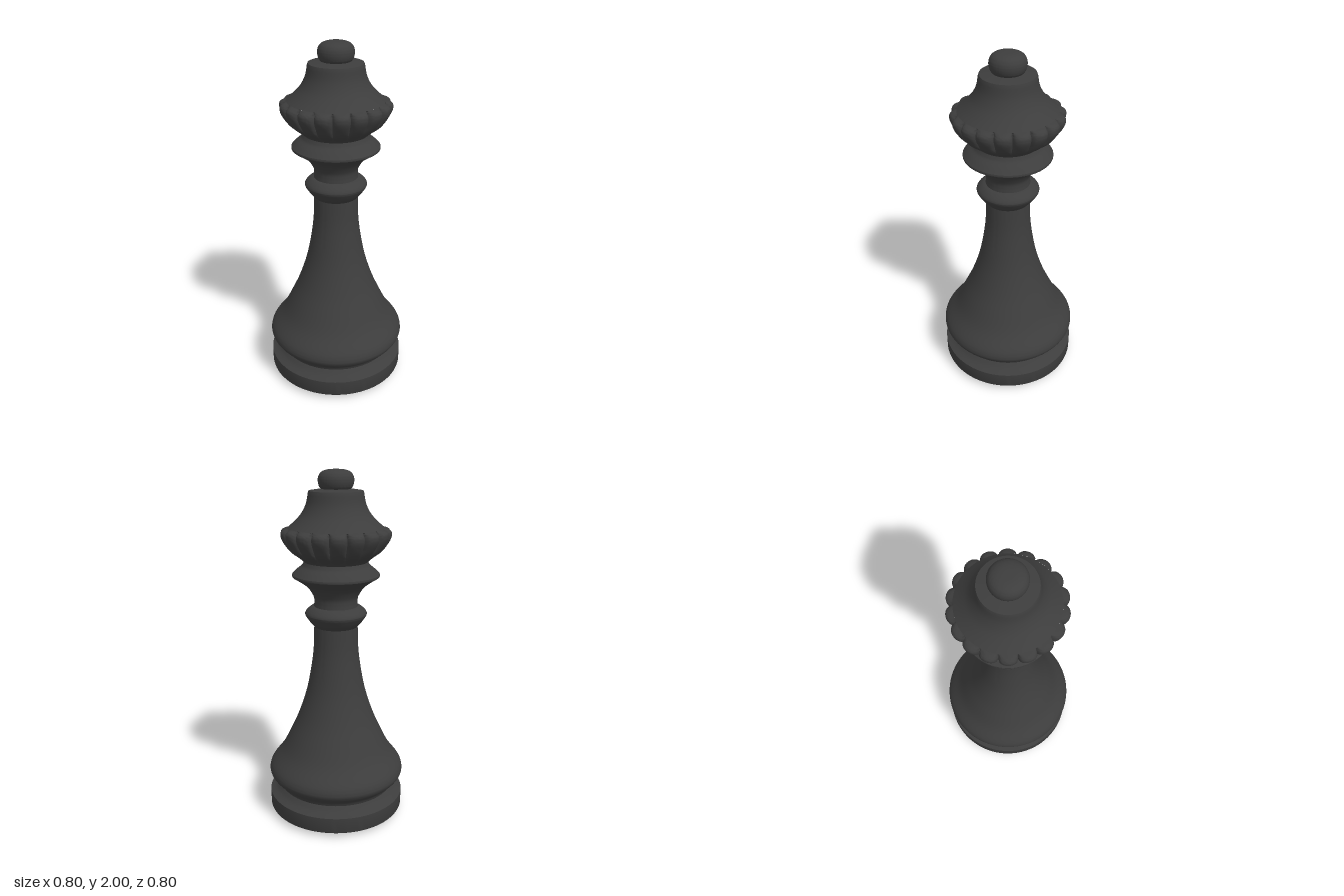
import * as THREE from 'three';
import { toCreasedNormals } from 'three/addons/utils/BufferGeometryUtils.js';

const FLUTES = 18;

// Joins runs of [radius, height] points: each run is one smooth curve, with a crease between runs.
function profile(...runs) {
  const out = [];
  for (const run of runs) {
    const pts = run.map(([r, y]) => new THREE.Vector2(r, y));
    const curve = pts.length > 2 ? new THREE.SplineCurve(pts).getPoints((pts.length - 1) * 4) : pts;
    for (const p of curve) {
      p.x = Math.max(0, p.x);
      if (!out.length || out[out.length - 1].distanceTo(p) > 1e-4) out.push(p);
    }
  }
  return out;
}

export function createModel() {
  const group = new THREE.Group();
  const ebony = new THREE.MeshStandardMaterial({ color: 0x3d3d3d });
  ebony.name = 'ebony';

  const add = (name, geometry, crease = 0.5) => {
    const mesh = new THREE.Mesh(toCreasedNormals(geometry, crease), ebony);
    mesh.name = name;
    group.add(mesh);
  };
  const turn = (name, ...runs) => add(name, new THREE.LatheGeometry(profile(...runs), 96));

  // Base disc with a slightly pointed underside and a narrow groove above
  turn('base',
    [[0, 0], [0.03, 0.013]], [[0.03, 0.013], [0.38, 0.023]],
    [[0.38, 0.023], [0.393, 0.027], [0.397, 0.037]], [[0.397, 0.037], [0.397, 0.12]],
    [[0.397, 0.12], [0.36, 0.138], [0.334, 0.165]]);

  // Flared body rising to a slim neck
  turn('body',
    [[0.334, 0.165], [0.346, 0.19], [0.378, 0.218], [0.396, 0.247], [0.396, 0.275], [0.38, 0.31],
      [0.32, 0.39], [0.267, 0.495], [0.22, 0.6], [0.175, 0.735], [0.147, 0.867], [0.129, 1.0], [0.124, 1.137]]);

  // Lower ring
  turn('lowerRing',
    [[0.124, 1.137], [0.15, 1.168], [0.172, 1.2]],
    [[0.172, 1.2], [0.175, 1.213], [0.165, 1.23], [0.143, 1.248], [0.124, 1.255]]);

  // Waist and wide collar
  turn('collar',
    [[0.124, 1.255], [0.122, 1.29], [0.13, 1.32], [0.165, 1.37], [0.233, 1.418]],
    [[0.233, 1.418], [0.244, 1.425], [0.244, 1.437]],
    [[0.244, 1.437], [0.217, 1.463], [0.19, 1.485], [0.178, 1.507]]);

  // Fluted crown: a turned bowl pressed in along the line between neighbouring lobes
  const bowl = profile([[0.178, 1.507], [0.205, 1.53], [0.252, 1.565], [0.287, 1.61], [0.304, 1.645],
    [0.304, 1.672], [0.29, 1.685], [0.266, 1.692]]);
  const crown = new THREE.LatheGeometry(bowl, FLUTES * 12, THREE.MathUtils.degToRad(7));
  const pos = crown.attributes.position;
  for (let i = 0; i < pos.count; i++) {
    const row = i % bowl.length;
    const t = (Math.floor(i / bowl.length) % 12) / 6 - 1;
    const y = pos.getY(i);
    const fade = Math.min(1, (y - 1.507) / 0.1, (bowl.length - 1 - row) / 5);
    const cut = 0.036 * fade * (1 - Math.sqrt(Math.max(0, 1 - t * t)));
    const k = 1 - cut / bowl[row].x;
    pos.setXYZ(i, pos.getX(i) * k, y - cut * 0.3, pos.getZ(i) * k);
  }
  add('flutedCrown', crown, 0.7);

  // Bell-shaped cap inside the crown
  turn('crownCap',
    [[0.266, 1.692], [0.228, 1.725], [0.19, 1.767], [0.163, 1.82], [0.152, 1.876]],
    [[0.152, 1.876], [0.148, 1.888]], [[0.148, 1.888], [0.08, 1.898]]);

  // Finial button
  turn('finial',
    [[0.08, 1.896], [0.092, 1.912], [0.098, 1.94], [0.094, 1.965], [0.078, 1.986], [0.045, 1.998], [0, 2]]);

  return group;
}
